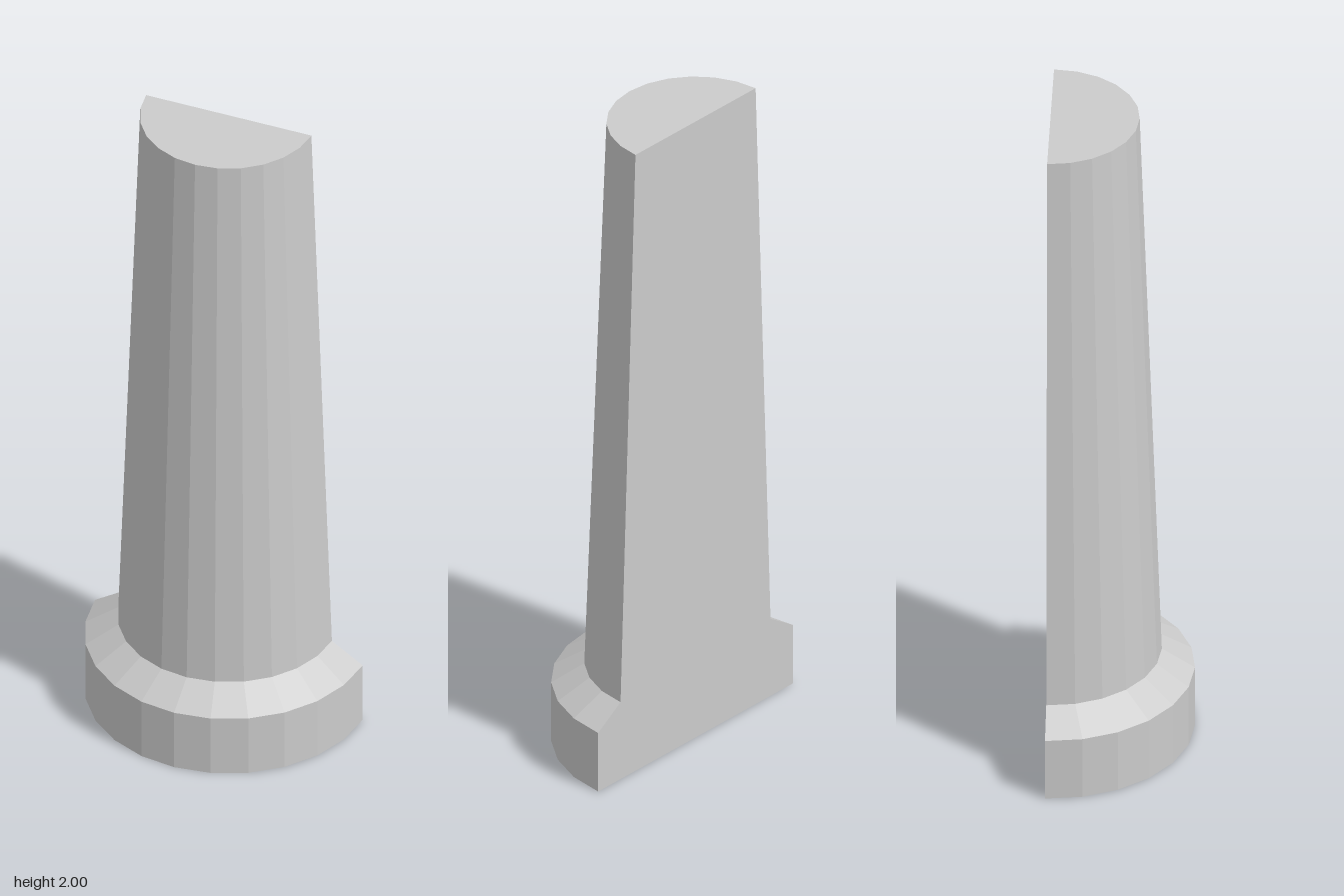
import * as THREE from 'three';

const BACK_Z = -0.2025; // plane of the flat back
const SEGMENTS = 12; // facets around the half circle

export function createModel() {
  const group = new THREE.Group();
  group.name = 'halfColumn';
  const material = new THREE.MeshStandardMaterial({ color: 0xcccccc, flatShading: true });

  const addPart = (name, geometry) => {
    const mesh = new THREE.Mesh(geometry, material);
    mesh.name = name;
    mesh.position.z = BACK_Z;
    group.add(mesh);
  };

  // Half-round solid of revolution from [radius, height] pairs, bottom to top
  const halfRound = (profile) => new THREE.LatheGeometry(
    profile.map(([r, y]) => new THREE.Vector2(r, y)), SEGMENTS, -Math.PI / 2, Math.PI);

  // Plinth with underside, sloping collar, tapered shaft with flat top
  addPart('plinth', halfRound([[0, 0], [0.405, 0], [0.405, 0.19]]));
  addPart('collar', halfRound([[0.405, 0.19], [0.312, 0.25]]));
  addPart('shaft', halfRound([[0.312, 0.25], [0.25, 2], [0, 2]]));

  // Flat back closing the half column
  const side = [[0.405, 0], [0.405, 0.19], [0.312, 0.25], [0.25, 2]];
  const outline = [...side, ...side.map(([x, y]) => [-x, y]).reverse()];
  const back = new THREE.ShapeGeometry(new THREE.Shape(outline.map(([x, y]) => new THREE.Vector2(x, y))));
  back.rotateY(Math.PI);
  addPart('backFace', back);

  return group;
}
